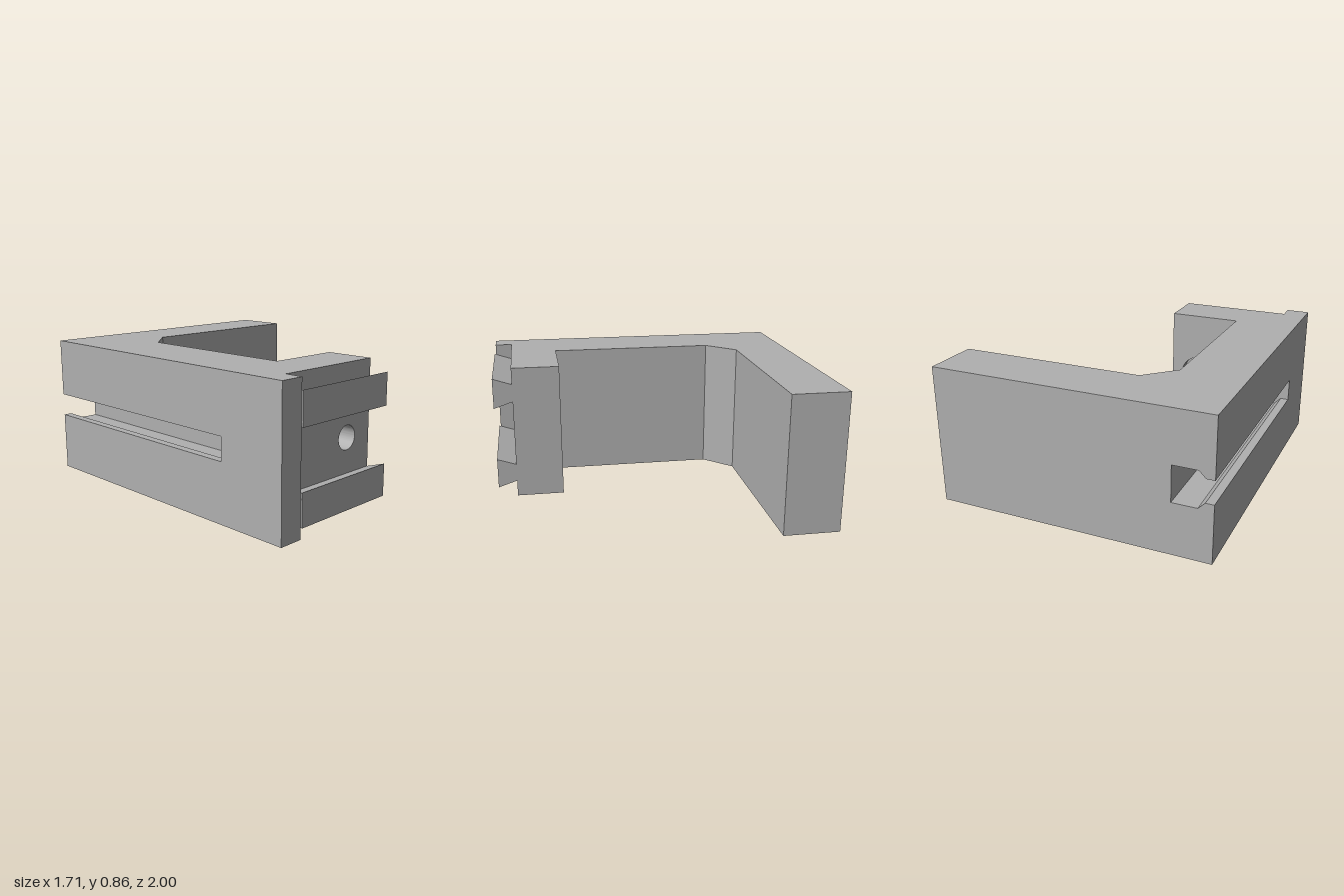
import * as THREE from 'three';
import { toCreasedNormals } from 'three/addons/utils/BufferGeometryUtils.js';

const HEIGHT = 0.86;
const MID = HEIGHT / 2;

export function createModel() {
  const group = new THREE.Group();
  const grey = new THREE.MeshStandardMaterial({ color: 0xb0b0b0 });

  const outline = (points) => new THREE.Shape(points.map(([a, b]) => new THREE.Vector2(a, b)));
  const extrude = (shape, depth) =>
    new THREE.ExtrudeGeometry(shape, { depth, bevelEnabled: false, curveSegments: 48 });
  const add = (name, geometry) => {
    const mesh = new THREE.Mesh(toCreasedNormals(geometry, Math.PI / 6), grey);
    mesh.name = name;
    group.add(mesh);
  };

  // Extrusions along each axis, placed directly in model coordinates
  const alongZ = (shape, z0, z1) => extrude(shape, z1 - z0).translate(0, 0, z0);
  const alongY = (xz) =>
    extrude(outline(xz.map(([x, z]) => [x, -z])), HEIGHT).rotateX(-Math.PI / 2);
  const alongX = (zy, x0, x1) =>
    extrude(outline(zy.map(([z, y]) => [-z, y])), x1 - x0).rotateY(Math.PI / 2).translate(x0, 0, 0);

  // Spine with an undercut slot open to its outer side and to the back
  const slot = [[-0.855, 0.07], [-0.805, 0.07], [-0.765, 0.11], [-0.615, 0.11]];
  const upper = slot.map(([x, h]) => [x, MID + h]);
  const lower = slot.map(([x, h]) => [x, MID - h]).reverse();
  add('slottedSpine', alongZ(outline([
    [-0.855, 0], [-0.455, 0], [-0.455, HEIGHT], [-0.855, HEIGHT], ...upper, ...lower,
  ]), -1, 0.55));

  // Long back arm with its chamfered inner corner
  add('backArm', alongY([
    [-0.455, -1], [0.855, -1], [0.855, -0.65], [-0.28, -0.65], [-0.455, -0.475],
  ]));

  // Solid front corner with the raised stop beside the rails
  add('frontCorner', alongY([
    [-0.855, 0.55], [-0.455, 0.55], [-0.455, 0.88], [-0.71, 0.88], [-0.71, 0.99], [-0.855, 0.99],
  ]));

  // Short front arm: a bolt hole with a wider recess on its inner side
  const drilledPlate = (radius) => {
    const shape = outline([[-0.455, 0], [0, 0], [0, HEIGHT], [-0.455, HEIGHT]]);
    shape.holes.push(new THREE.Path().absarc(-0.2, MID, radius, 0, Math.PI * 2, true));
    return shape;
  };
  add('frontArmRecess', alongZ(drilledPlate(0.13), 0.58, 0.64));
  add('frontArm', alongZ(drilledPlate(0.072), 0.64, 0.88));

  // Two dovetail rails, mirrored about mid height
  for (const [name, side] of [['upperRail', 1], ['lowerRail', -1]]) {
    const y = MID + side * 0.268;
    add(name, alongX([
      [0.88, y - 0.057], [1, y - 0.097], [1, y + 0.097], [0.88, y + 0.057],
    ], -0.71, 0));
  }

  return group;
}
